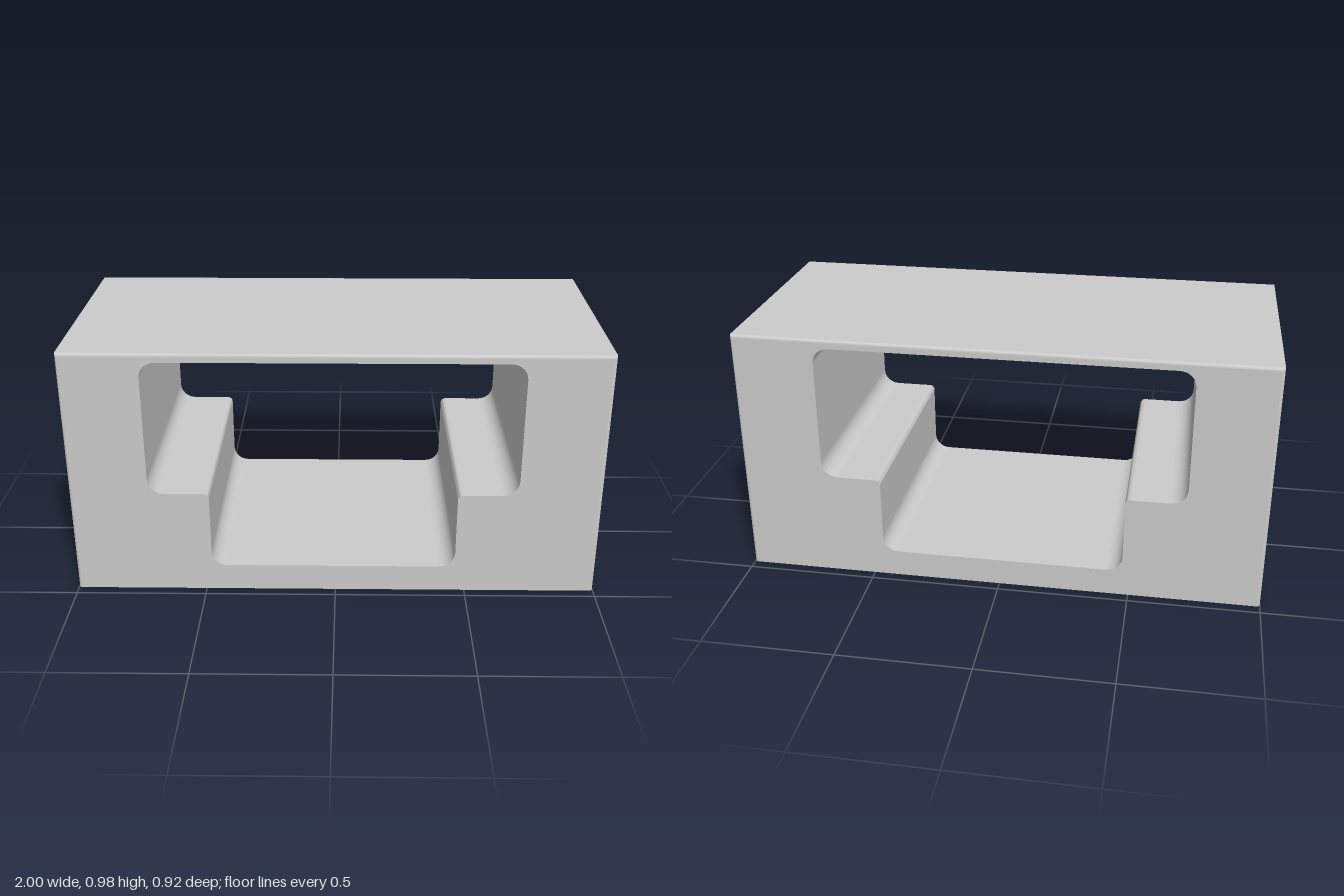
import * as THREE from 'three';
import { toCreasedNormals } from 'three/addons/utils/BufferGeometryUtils.js';

const W = 1, H = 0.975, D = 0.46; // half width, height, half depth
const R = 0.012;                  // rounding of the front and back rims
const ARC = 3;                    // rings per rim rounding

// Closed path through [x, y, radius] corners, each rounded by its radius
function roundedPath(corners) {
  const path = new THREE.Path();
  const k = 0.4477;
  corners.forEach(([x, y, r], i) => {
    const p = new THREE.Vector2(x, y);
    const toward = (c, d) => p.clone().add(new THREE.Vector2(c[0] - x, c[1] - y).setLength(d));
    const prev = corners[(i + corners.length - 1) % corners.length];
    const next = corners[(i + 1) % corners.length];
    const a = toward(prev, r), b = toward(next, r);
    const c1 = toward(prev, r * k), c2 = toward(next, r * k);
    if (i === 0) path.moveTo(a.x, a.y); else path.lineTo(a.x, a.y);
    path.bezierCurveTo(c1.x, c1.y, c2.x, c2.y, b.x, b.y);
  });
  path.closePath();
  return path;
}

// Rim rounding: ring number -> depth and inset of the outer wall
function rim(ring, rings) {
  const fromEnd = Math.min(ring, rings - ring);
  const a = (fromEnd / ARC) * Math.PI / 2;
  const z = D - R * (1 - Math.cos(a));
  return { z: ring < rings / 2 ? -z : z, inset: R * (1 - Math.sin(a)) };
}

// Keep the large flat faces evenly shaded next to the roundings
function flattenPlanes(geo) {
  const pos = geo.attributes.position, nor = geo.attributes.normal;
  const t = new THREE.Triangle(), n = new THREE.Vector3();
  for (let i = 0; i < pos.count; i += 3) {
    t.setFromAttributeAndIndices(pos, i, i + 1, i + 2);
    t.getNormal(n);
    if (Math.max(Math.abs(n.x), Math.abs(n.y), Math.abs(n.z)) > 0.9999) {
      for (let j = 0; j < 3; j++) nor.setXYZ(i + j, n.x, n.y, n.z);
    }
  }
}

export function createModel() {
  const group = new THREE.Group();
  group.name = 'hollowBlock';

  // Outer block with a stepped through-opening
  const shape = new THREE.Shape([[-W, 0], [W, 0], [W, H], [-W, H]].map(p => new THREE.Vector2(...p)));
  shape.holes.push(roundedPath([
    [-0.475, 0.105, 0.06], [0.46, 0.105, 0.06],
    [0.46, 0.415, 0.02], [0.688, 0.415, 0.06],
    [0.688, 0.943, 0.06], [-0.703, 0.943, 0.06],
    [-0.703, 0.415, 0.06], [-0.475, 0.415, 0.02],
  ]));

  const rings = 2 * ARC + 1;
  let geo = new THREE.ExtrudeGeometry(shape, {
    depth: rings, steps: rings, bevelEnabled: false, curveSegments: 6,
  });

  // Round the front and back rims along the top and sides; the base stays sharp
  const pos = geo.attributes.position;
  for (let i = 0; i < pos.count; i++) {
    const { z, inset } = rim(Math.round(pos.getZ(i)), rings);
    const x = pos.getX(i), y = pos.getY(i);
    if (Math.abs(x) > W - 1e-4) pos.setX(i, x - Math.sign(x) * inset);
    if (y > H - 1e-4) pos.setY(i, y - inset);
    pos.setZ(i, z);
  }
  geo = toCreasedNormals(geo, 0.6);
  flattenPlanes(geo);

  const block = new THREE.Mesh(geo, new THREE.MeshStandardMaterial({ color: 0xcccccc }));
  block.name = 'block';
  group.add(block);
  return group;
}
